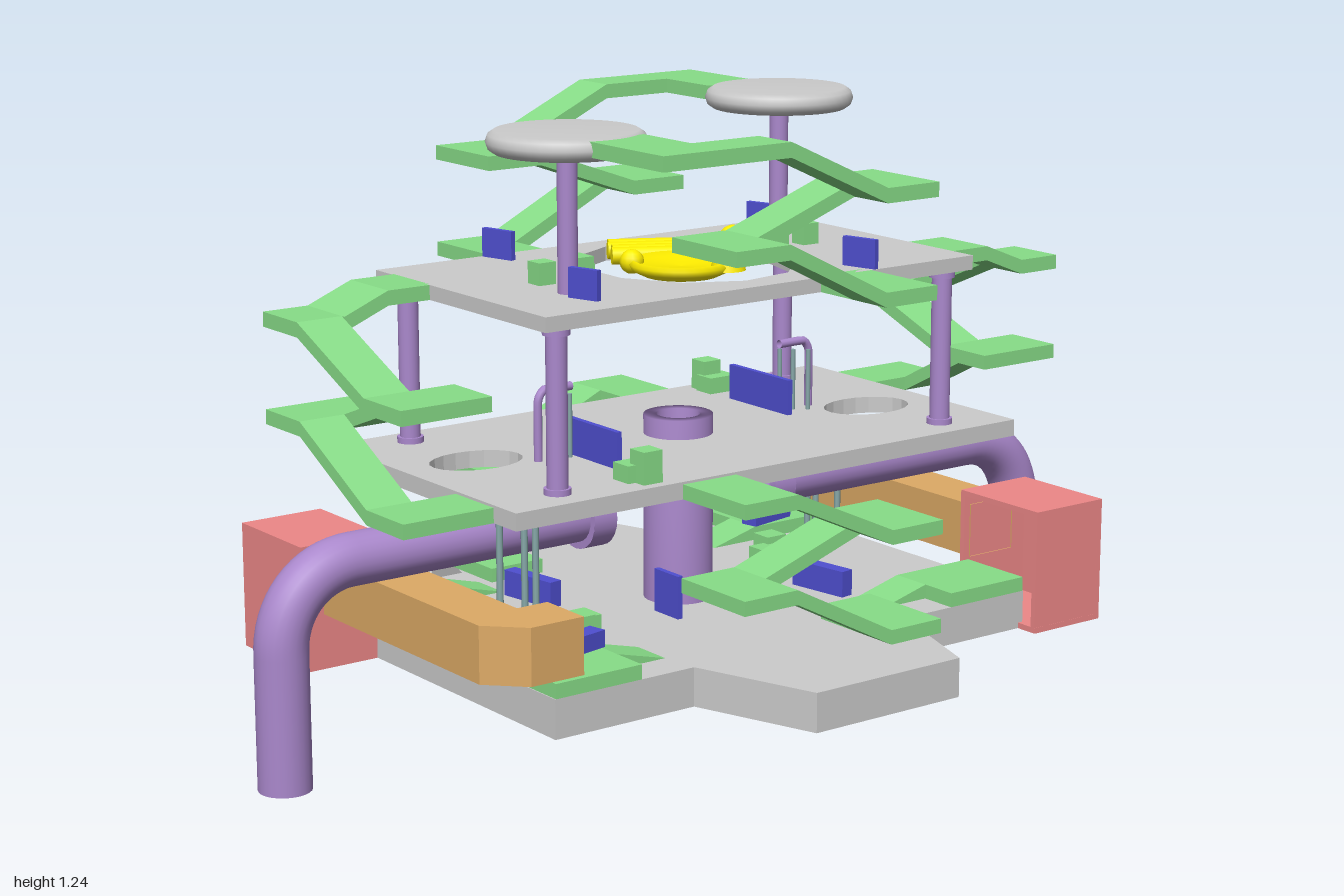
import * as THREE from 'three';

const mat = (color) => new THREE.MeshStandardMaterial({ color, side: THREE.DoubleSide });
const grey = mat(0xcccccc), green = mat(0x88dd88), purple = mat(0xaa88cc), red = mat(0xee8888);
const tan = mat(0xddaa66), blue = mat(0x4f4fd0), yellow = mat(0xffee00), steel = mat(0x88aaaa);
const T = 0.03; // ramp thickness

function add(parent, name, geo, material, x = 0, y = 0, z = 0) {
  const m = new THREE.Mesh(geo, material);
  m.name = name;
  m.position.set(x, y, z);
  parent.add(m);
  return m;
}
const box = (p, name, m, w, h, d, x, y, z) => add(p, name, new THREE.BoxGeometry(w, h, d), m, x, y + h / 2, z);
const rod = (p, name, m, r, h, x, y, z, n = 20) => add(p, name, new THREE.CylinderGeometry(r, r, h, n), m, x, y + h / 2, z);

// Flat plate cut from a plan outline of [x, z] points, with holes
function plate(parent, name, pts, holes, y, h) {
  const toV = ([x, z]) => new THREE.Vector2(x, -z);
  const s = new THREE.Shape(pts.map(toV));
  for (const hole of holes) s.holes.push(new THREE.Path(hole.map(toV)));
  const g = new THREE.ExtrudeGeometry(s, { depth: h, bevelEnabled: false });
  g.rotateX(-Math.PI / 2);
  return add(parent, name, g, grey, 0, y, 0);
}
const rect = (x, z) => [[-x, -z], [x, -z], [x, z], [-x, z]];
const oval = (cx, cz, rx, rz, n) => Array.from({ length: n }, (_, i) => {
  const a = (i / n) * Math.PI * 2;
  return [cx + rx * Math.cos(a), cz + rz * Math.sin(a)];
});

// Box sheared so its top goes from ya to yb along u (x) or v (z)
function slab(parent, name, u0, u1, v0, v1, ya, yb = ya, alongV = false) {
  const g = new THREE.BoxGeometry(u1 - u0, T, v1 - v0);
  const p = g.attributes.position;
  for (let i = 0; i < p.count; i++) {
    const k = alongV ? p.getZ(i) / (v1 - v0) : p.getX(i) / (u1 - u0);
    p.setY(i, p.getY(i) - T / 2 + THREE.MathUtils.lerp(ya, yb, k + 0.5));
  }
  g.computeVertexNormals();
  return add(parent, name, g, green, (u0 + u1) / 2, 0, (v0 + v1) / 2);
}

// Three flights folded back on each other, with landings between
function zigzag(parent, [y0, y1, y2, y3], inner, topStart = -0.24) {
  const g = new THREE.Group();
  g.name = 'zigzagRamp';
  const a = -0.24, b = -0.11, c = 0.13, d = 0.26, mid = inner + 0.1, out = inner + 0.2;
  slab(g, 'topLanding', topStart, b, mid, out, y0);
  slab(g, 'upperFlight', b, c, mid, out, y0, y1);
  slab(g, 'landing', c, d, inner, out, y1);
  slab(g, 'middleFlight', b, c, inner, mid, y2, y1);
  slab(g, 'landing', a, b, inner, out, y2);
  slab(g, 'lowerFlight', b, c, mid, out, y2, y3);
  slab(g, 'bottomLanding', c, d, inner - 0.02, out, y3);
  parent.add(g);
  return g;
}

// Square tube round a chamfered corner, open at its inner end
function tunnelGeometry() {
  const stations = [[[0.72, 0.24], [0.6, 0.24]], [[0.72, -0.34], [0.6, -0.29]],
    [[0.65, -0.41], [0.6, -0.29]], [[0.53, -0.41], [0.53, -0.29]]];
  const pos = [], idx = [];
  for (const [o, i] of stations) {
    for (const [p, y] of [[o, 0.255], [o, 0.37], [i, 0.37], [i, 0.255]]) pos.push(p[0], y, p[1]);
  }
  for (let s = 0; s < 3; s++) {
    for (let k = 0; k < 4; k++) {
      const a = s * 4 + k, b = s * 4 + (k + 1) % 4;
      idx.push(a, a + 4, b, b, a + 4, b + 4);
    }
  }
  let g = new THREE.BufferGeometry();
  g.setAttribute('position', new THREE.Float32BufferAttribute(pos, 3));
  g.setIndex(idx);
  g = g.toNonIndexed();
  g.computeVertexNormals();
  return g;
}

// Everything that repeats under a half turn
function half() {
  const g = new THREE.Group();
  g.name = 'halfOfStructure';

  // Ramps: base to middle deck, middle to top deck, top deck to disc
  const low = zigzag(g, [0.565, 0.455, 0.375, 0.25], 0.33);
  slab(low, 'deckLink', -0.24, -0.11, 0.32, 0.43, 0.565);
  const side = zigzag(g, [0.885, 0.78, 0.69, 0.565], 0.63);
  slab(side, 'deckLink', -0.24, -0.1, 0.53, 0.63, 0.925);
  slab(side, 'deckLinkSlope', -0.24, -0.1, 0.63, 0.73, 0.925, 0.885, true);
  side.rotation.y = Math.PI / 2;
  const high = zigzag(g, [1.24, 1.13, 1.045, 0.925], 0.3, -0.41);
  slab(high, 'discLink', -0.41, -0.27, 0.25, 0.4, 1.24);

  // Disc on its post
  const disc = [[0, 0], [0.14, 0], [0.152, 0.008], [0.157, 0.022], [0.152, 0.036], [0.14, 0.044], [0, 0.044]];
  add(g, 'disc', new THREE.LatheGeometry(disc.map(([r, y]) => new THREE.Vector2(r, y)), 40), grey, -0.365, 1.2, 0.13);
  rod(g, 'discPost', purple, 0.02, 0.28, -0.365, 0.92, 0.13);
  rod(g, 'discPostCollar', purple, 0.027, 0.015, -0.365, 1.185, 0.13);

  // Deck posts
  for (const x of [-0.485, 0.485]) {
    rod(g, 'deckPost', purple, 0.021, 0.33, x, 0.565, 0.262);
    rod(g, 'deckPostCollar', purple, 0.027, 0.015, x, 0.88, 0.262);
    rod(g, 'deckPostFoot', purple, 0.027, 0.012, x, 0.57, 0.262);
  }

  // Bent pipe leg with collar
  const path = new THREE.CurvePath();
  const v = (x, y) => new THREE.Vector3(x, y, 0);
  path.add(new THREE.LineCurve3(v(0.2, 0.433), v(0.79, 0.433)));
  path.add(new THREE.CubicBezierCurve3(v(0.79, 0.433), v(0.88, 0.433), v(0.947, 0.366), v(0.947, 0.276)));
  path.add(new THREE.LineCurve3(v(0.947, 0.276), v(0.947, 0)));
  add(g, 'pipeLeg', new THREE.TubeGeometry(path, 70, 0.053, 24), purple);
  add(g, 'pipeCollar', new THREE.CylinderGeometry(0.068, 0.068, 0.055, 24, 1, true).rotateZ(Math.PI / 2), purple, 0.232, 0.433, 0);
  add(g, 'pipeCollarFace', new THREE.RingGeometry(0.05, 0.068, 24).rotateY(Math.PI / 2), purple, 0.26, 0.433, 0);

  // Tunnel running into a chamber that is open towards the middle
  add(g, 'tunnel', tunnelGeometry(), tan);
  const W = 0.012;
  box(g, 'chamberOuterWall', red, W, 0.262, 0.235, 0.764, 0.14, 0.343);
  for (const z of [0.231, 0.454]) box(g, 'chamberSideWall', red, 0.184, 0.262, W, 0.677, 0.14, z);
  for (const y of [0.14, 0.39]) box(g, 'chamberPanel', red, 0.184, W, 0.235, 0.677, y, 0.343);

  // Raised corner floors on the base, with short slopes
  for (const s of [-1, 1]) {
    slab(g, 'cornerFloor', s * 0.495 - 0.1, s * 0.495 + 0.1, 0.24, 0.41, 0.25);
    slab(g, 'cornerSlope', s > 0 ? 0.28 : -0.395, s > 0 ? 0.395 : -0.28, 0.24, 0.33, s > 0 ? 0.22 : 0.25, s > 0 ? 0.25 : 0.22);
  }

  // Blue panels: w, h, d, x, y, z, turn
  for (const [w, h, d, x, y, z, turn] of [
    [0.012, 0.06, 0.08, 0.265, 0.925, 0.26, 0.25], [0.012, 0.06, 0.07, -0.375, 0.925, 0.2, 0.3],
    [0.012, 0.075, 0.2, -0.28, 0.57, 0.08, 0], [0.03, 0.055, 0.14, 0.265, 0.22, 0.15, 0.15],
    [0.012, 0.09, 0.08, -0.1, 0.22, 0.1, 0], [0.12, 0.035, 0.04, -0.45, 0.25, 0.27, 0.2],
  ]) box(g, 'bluePanel', blue, w, h, d, x, y, z).rotation.y = turn;

  // Small green blocks
  for (const [w, h, d, x, y, z] of [
    [0.05, 0.06, 0.05, -0.31, 0.925, 0.08], [0.04, 0.035, 0.06, -0.27, 0.925, 0.03], [0.04, 0.045, 0.04, -0.35, 0.925, 0.02],
    [0.045, 0.065, 0.045, -0.295, 0.57, 0.29], [0.07, 0.035, 0.05, -0.3, 0.57, 0.26],
    [0.05, 0.05, 0.05, -0.34, 0.22, 0.12], [0.05, 0.035, 0.06, -0.3, 0.22, 0.08],
  ]) box(g, 'greenBlock', green, w, h, d, x, y, z);

  // Hooked handrail and slim poles
  const hook = new THREE.CatmullRomCurve3([[-0.37, 0.56], [-0.37, 0.69], [-0.355, 0.713], [-0.29, 0.713]]
    .map(([x, y]) => v(x, y)), false, 'catmullrom', 0.2);
  add(g, 'handrail', new THREE.TubeGeometry(hook, 24, 0.009, 10), purple, 0, 0, 0.03);
  [-0.345, -0.32, -0.3].forEach((x, i) => rod(g, 'slimPole', steel, 0.005, 0.13, x, 0.57, 0.02 * i, 8));
  [-0.505, -0.46, -0.42].forEach((x, i) => rod(g, 'lowerPole', steel, 0.007, 0.32, x, 0.22, 0.09 + 0.02 * (i % 2), 8));
  return g;
}

export function createModel() {
  const root = new THREE.Group();
  root.name = 'tieredPlayStructure';

  // Base and decks
  const q = [[0.18, 0.675], [0.27, 0.41], [0.597, 0.41]];
  const mir = (sx, sz) => q.map(([x, z]) => [x * sx, z * sz]);
  plate(root, 'base', [...mir(1, 1), ...mir(1, -1).reverse(), ...mir(-1, -1), ...mir(-1, 1).reverse()], [], 0.14, 0.08);
  plate(root, 'middleDeck', rect(0.63, 0.335),
    [oval(0, 0, 0.055, 0.055, 24), oval(0.465, 0.05, 0.1, 0.075, 20), oval(-0.465, -0.05, 0.1, 0.075, 20)], 0.535, 0.035);
  plate(root, 'topDeck', rect(0.535, 0.3), [oval(0.02, 0, 0.22, 0.24, 11)], 0.895, 0.03);

  // Hollow central column
  const column = [[0.045, 0.22], [0.045, 0.61], [0.072, 0.61], [0.072, 0.22]];
  add(root, 'centralColumn', new THREE.LatheGeometry(column.map(([r, y]) => new THREE.Vector2(r, y)), 32), purple);

  // Floating bird: dished body, neck, head, beak, tail
  const duck = new THREE.Group();
  duck.name = 'floatingBird';
  duck.position.set(-0.06, 0.92, 0.09);
  const bowl = [[0, 0], [0.075, 0], [0.1, 0.012], [0.106, 0.024], [0.098, 0.032], [0.082, 0.024], [0, 0.018]];
  add(duck, 'body', new THREE.LatheGeometry(bowl.map(([r, y]) => new THREE.Vector2(r, y)), 32), yellow);
  add(duck, 'neck', new THREE.CylinderGeometry(0.02, 0.036, 0.06, 20), yellow, 0.06, 0.045, 0.075);
  add(duck, 'head', new THREE.SphereGeometry(0.029, 20, 14), yellow, 0.07, 0.076, 0.078);
  add(duck, 'beak', new THREE.SphereGeometry(0.014, 12, 8).scale(1, 0.5, 1.4), yellow, 0.076, 0.072, 0.108);
  add(duck, 'tail', new THREE.SphereGeometry(0.025, 12, 8), yellow, -0.075, 0.026, -0.065);
  root.add(duck);

  // Raft of rolls
  const raft = new THREE.Group();
  raft.name = 'raft';
  raft.position.set(0.055, 0.932, -0.09);
  raft.rotation.y = -0.49;
  for (let i = 0; i < 4; i++) {
    const roll = new THREE.CylinderGeometry(0.018, 0.018, i % 2 ? 0.29 : 0.26, 12).rotateZ(Math.PI / 2);
    add(raft, 'roll', roll, yellow, i % 2 ? 0.01 : 0, 0, (i - 1.5) * 0.032);
  }
  root.add(raft);

  // Two halves, a half turn apart
  const front = half(), back = half();
  back.rotation.y = Math.PI;
  root.add(front, back);
  return root;
}
